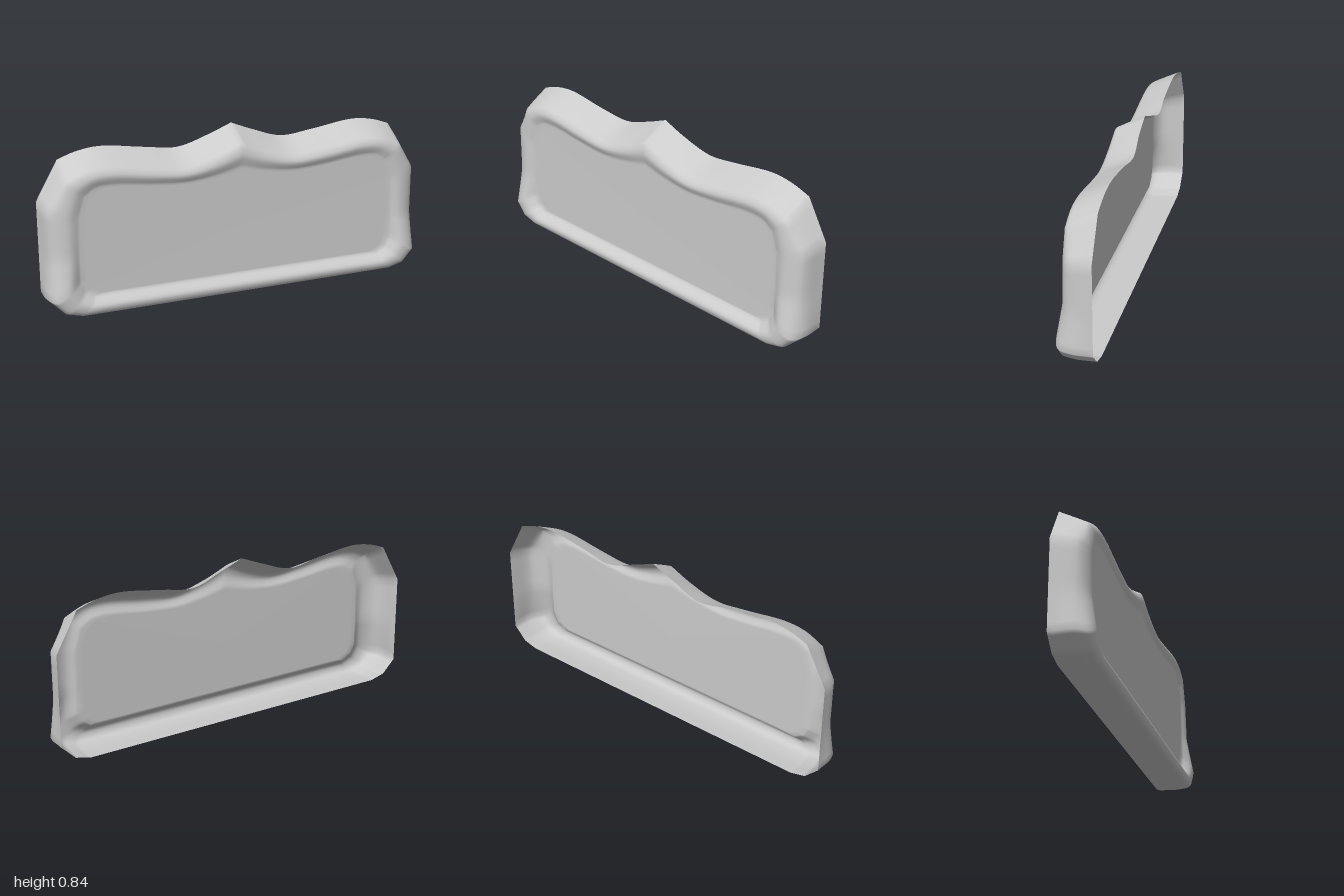
import * as THREE from 'three';

// Half outlines [x, y], running from bottom centre up the left side to top centre
const BACK = [[0, .01], [.5, .01], [.85, .01], [.93, .03], [1, .1], [1, .3], [1, .56],
  [.89, .755], [.8, .785], [.68, .8], [.45, .77], [.28, .75], [.12, .8], [0, .847]];
const SHOULDER = [[0, .014], [.5, .014], [.83, .014], [.91, .035], [.965, .1], [.94, .3], [.94, .53],
  [.885, .67], [.79, .712], [.68, .722], [.45, .692], [.28, .678], [.12, .718], [0, .768]];
const CREST = [[0, .055], [.5, .055], [.79, .055], [.86, .08], [.9, .14], [.885, .3], [.885, .51],
  [.845, .64], [.77, .68], [.67, .69], [.45, .662], [.28, .65], [.12, .68], [0, .72]];
const PANEL = [[0, .1], [.5, .1], [.76, .1], [.81, .13], [.835, .18], [.835, .3], [.83, .5],
  [.8, .6], [.745, .637], [.66, .645], [.45, .622], [.28, .612], [.12, .632], [0, .66]];
const TOP_START = 7;   // from this key on the outline is a smooth wave
const STEPS = 5;       // samples between keys

// The rim bulges forward near the bottom
const rimZ = y => 0.069 + 0.031 * (1 - THREE.MathUtils.smoothstep(y, 0.12, 0.36));

// Sample a half outline (straight lower part, waved top), then mirror it to a closed loop
function closedLoop(points) {
  const half = [];
  for (let i = 0; i < TOP_START; i++) {
    for (let s = 0; s < STEPS; s++) half.push(points[i].clone().lerp(points[i + 1], s / STEPS));
  }
  const top = points.slice(TOP_START);
  const wave = new THREE.CatmullRomCurve3(top, false, 'centripetal');
  const n = (top.length - 1) * STEPS;
  for (let s = 0; s <= n; s++) half.push(wave.getPoint(s / n));
  const mirrored = half.slice(1, -1).reverse().map(p => new THREE.Vector3(-p.x, p.y, p.z));
  return half.concat(mirrored);
}

// Skin a list of equal-length closed loops
function skin(loops) {
  const n = loops[0].length, index = [];
  for (let r = 0; r < loops.length - 1; r++) {
    for (let i = 0; i < n; i++) {
      const a = r * n + i, b = r * n + (i + 1) % n;
      index.push(a, b, b + n, a, b + n, a + n);
    }
  }
  const geometry = new THREE.BufferGeometry().setFromPoints(loops.flat());
  geometry.setIndex(index);
  geometry.computeVertexNormals();
  return geometry;
}

export function createModel() {
  const group = new THREE.Group();
  group.name = 'headboardShell';
  const material = new THREE.MeshStandardMaterial({ color: 0xcccccc, roughness: 0.8, side: THREE.DoubleSide });

  // Key sections from the open back edge to the recessed panel
  const lift = (points, z) => points.map(([x, y], i) => new THREE.Vector3(x, y, z(y, i)));
  const back = lift(BACK, (y, i) => (i === 11 ? -0.1 : -0.09));
  const shoulder = lift(SHOULDER, y => rimZ(y) - 0.014);
  const middle = back.map((b, i) => {
    const s = shoulder[i], low = i < 4 ? 0.01 : 0;
    const bulge = i === 4 ? 0.012 : 0;
    return new THREE.Vector3(
      THREE.MathUtils.lerp(b.x, s.x, 0.4) + bulge,
      THREE.MathUtils.lerp(b.y, s.y, 0.75) - low, 0.025);
  });
  const crest = lift(CREST, y => rimZ(y));
  const panelEdge = lift(PANEL, () => 0.055);
  const keys = [back, middle, shoulder, crest, panelEdge].map(closedLoop);

  // Flared wall and rolled rim: smooth curves across the key sections
  const across = keys[0].map((_, i) =>
    new THREE.CatmullRomCurve3(keys.map(k => k[i]), false, 'centripetal').getPoints(20));
  const rimLoops = across[0].map((_, r) => across.map(column => column[r]));

  // Recessed panel: the inner loop shrinks to the middle
  const centre = new THREE.Vector3(0, 0.36, 0.053);
  const panelLoops = [0.04, 0.35, 0.7, 1].map(t => keys[4].map(p => p.clone().lerp(centre, t)));

  const shell = new THREE.Mesh(skin([...rimLoops, ...panelLoops]), material);
  shell.name = 'rimAndPanel';
  group.add(shell);
  return group;
}
